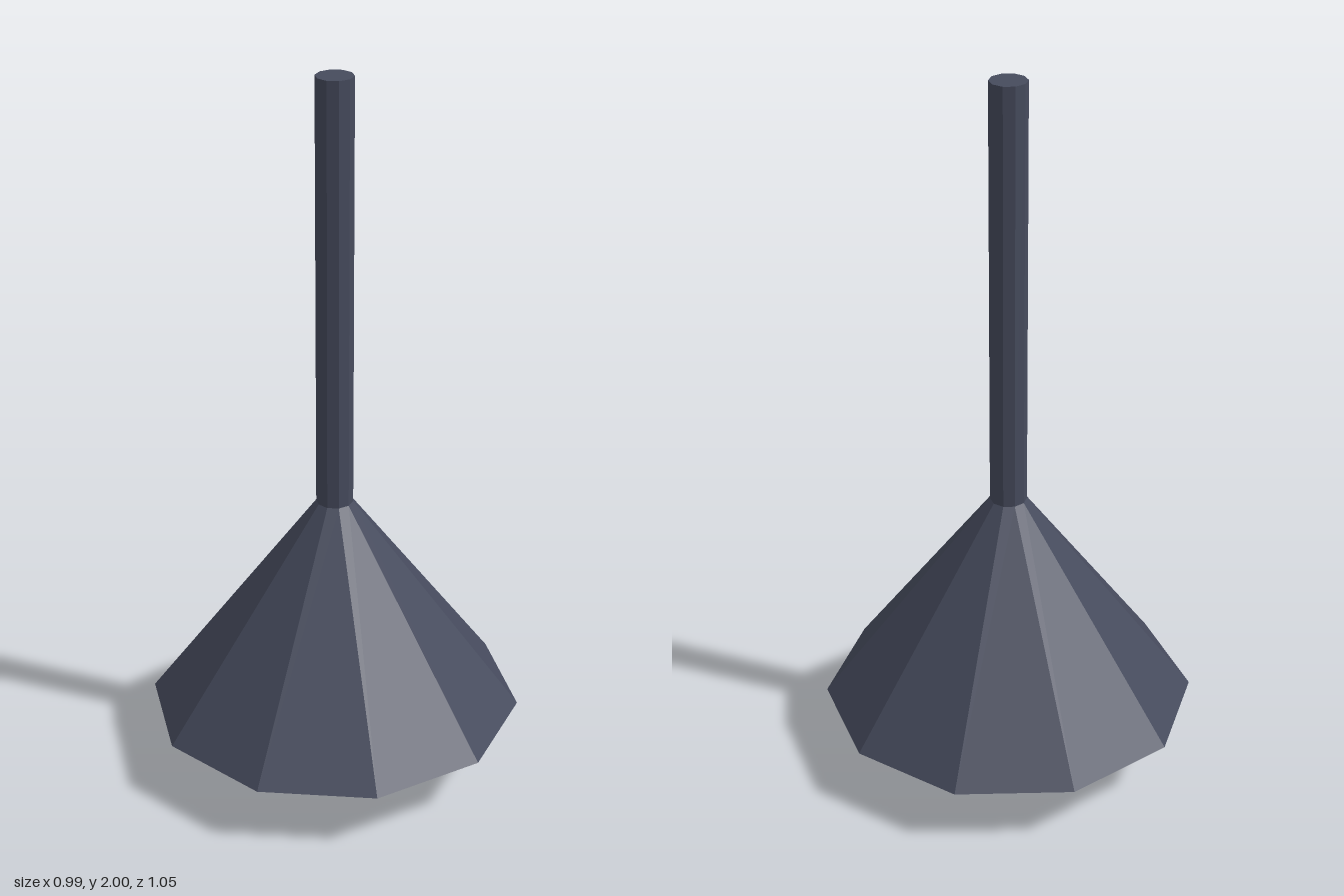
import * as THREE from 'three';

export function createModel() {
  const group = new THREE.Group();
  group.name = 'pendantLamp';

  const darkMetal = new THREE.MeshStandardMaterial({ color: 0x464b5d, flatShading: true });
  darkMetal.name = 'dark blue-grey metal';
  const warmGlass = new THREE.MeshStandardMaterial({ color: 0xf5eabd, flatShading: true });
  warmGlass.name = 'warm cream glass';

  const SIDES = 10;
  const STEM_RADIUS = 0.051;
  const SHADE_RADIUS = 0.523;
  const SHADE_BOTTOM = 0.165;
  const SHADE_TOP = 0.795;
  const BULB_RADIUS = 0.235;

  const add = (name, geometry, material, y) => {
    const mesh = new THREE.Mesh(geometry, material);
    mesh.name = name;
    mesh.position.y = y;
    group.add(mesh);
  };

  // ten-sided part standing between two heights
  const tapered = (name, topRadius, bottomRadius, y0, y1) => add(
    name,
    new THREE.CylinderGeometry(topRadius, bottomRadius, y1 - y0, SIDES),
    darkMetal,
    (y0 + y1) / 2
  );

  // hanging stem and closed conical shade
  tapered('stem', STEM_RADIUS, STEM_RADIUS, SHADE_TOP, 2);
  tapered('shade', STEM_RADIUS, SHADE_RADIUS, SHADE_BOTTOM, SHADE_TOP);

  // faceted bulb, turned so that one corner points straight down
  const bulb = new THREE.IcosahedronGeometry(BULB_RADIUS, 1);
  bulb.rotateZ(-Math.atan(2 / (1 + Math.sqrt(5))));
  add('bulb', bulb, warmGlass, BULB_RADIUS);

  return group;
}
